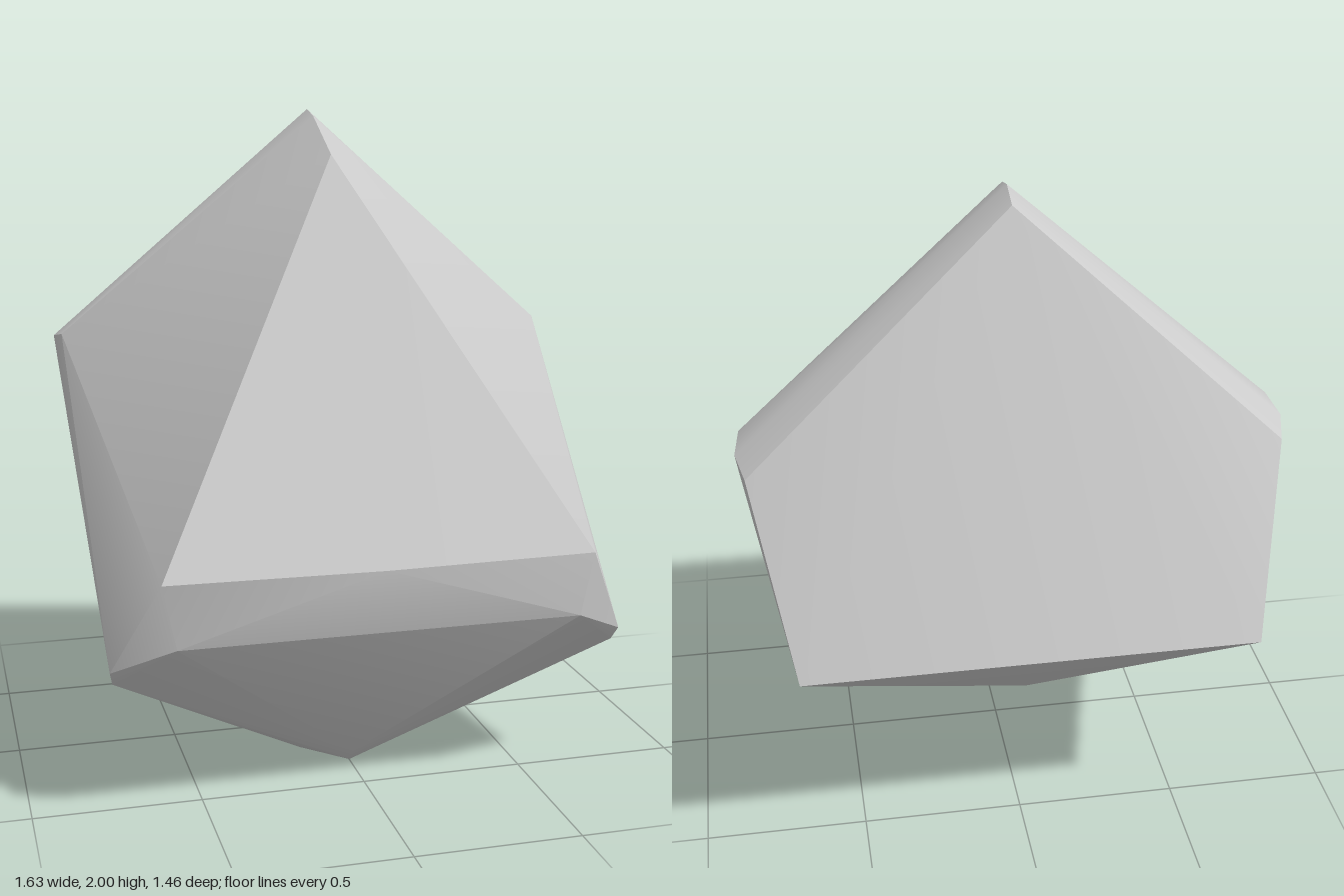
import * as THREE from 'three';
import { toCreasedNormals } from 'three/addons/utils/BufferGeometryUtils.js';
import { ConvexGeometry } from 'three/addons/geometries/ConvexGeometry.js';

// Corners on the centre plane, as [y, z]
const centre = [
  [1.87, 0.1], [1.98, -0.12], [2, -0.2], [1.97, -0.29], // worn peak
  [0.74, 0.73],                                         // front lip
  [0.05, 0.38], [0, 0.33], [0, 0.25],                   // foot
  [0.54, -0.58],                                        // back underside
];

// Corners on the left half, as [x, y, z]; mirrored to the right
const side = [
  [0.8, 1.3, -0.23], [0.815, 1.28, -0.34], [0.79, 1.25, -0.44], // shoulder
  [0.64, 0.74, 0.71], [0.6, 0.55, 0.71],                        // front lip
  [0.775, 0.46, 0.6], [0.765, 0.415, 0.57],                     // lower front corner
  [0.68, 0.73, -0.73],                                          // back corner
  [0.15, 0.04, 0.29],                                           // foot
];

export function createModel() {
  const points = centre.map(([y, z]) => new THREE.Vector3(0, y, z));
  for (const [x, y, z] of side) {
    for (const s of [1, -1]) points.push(new THREE.Vector3(s * x, y, z));
  }

  // One faceted stone, with its narrow worn edges shaded softly
  const geometry = toCreasedNormals(new ConvexGeometry(points), 0.5);
  const rock = new THREE.Mesh(geometry, new THREE.MeshStandardMaterial({ color: 0xcccccc }));
  rock.name = 'rock';

  const group = new THREE.Group();
  group.name = 'facetedRock';
  group.add(rock);
  return group;
}
